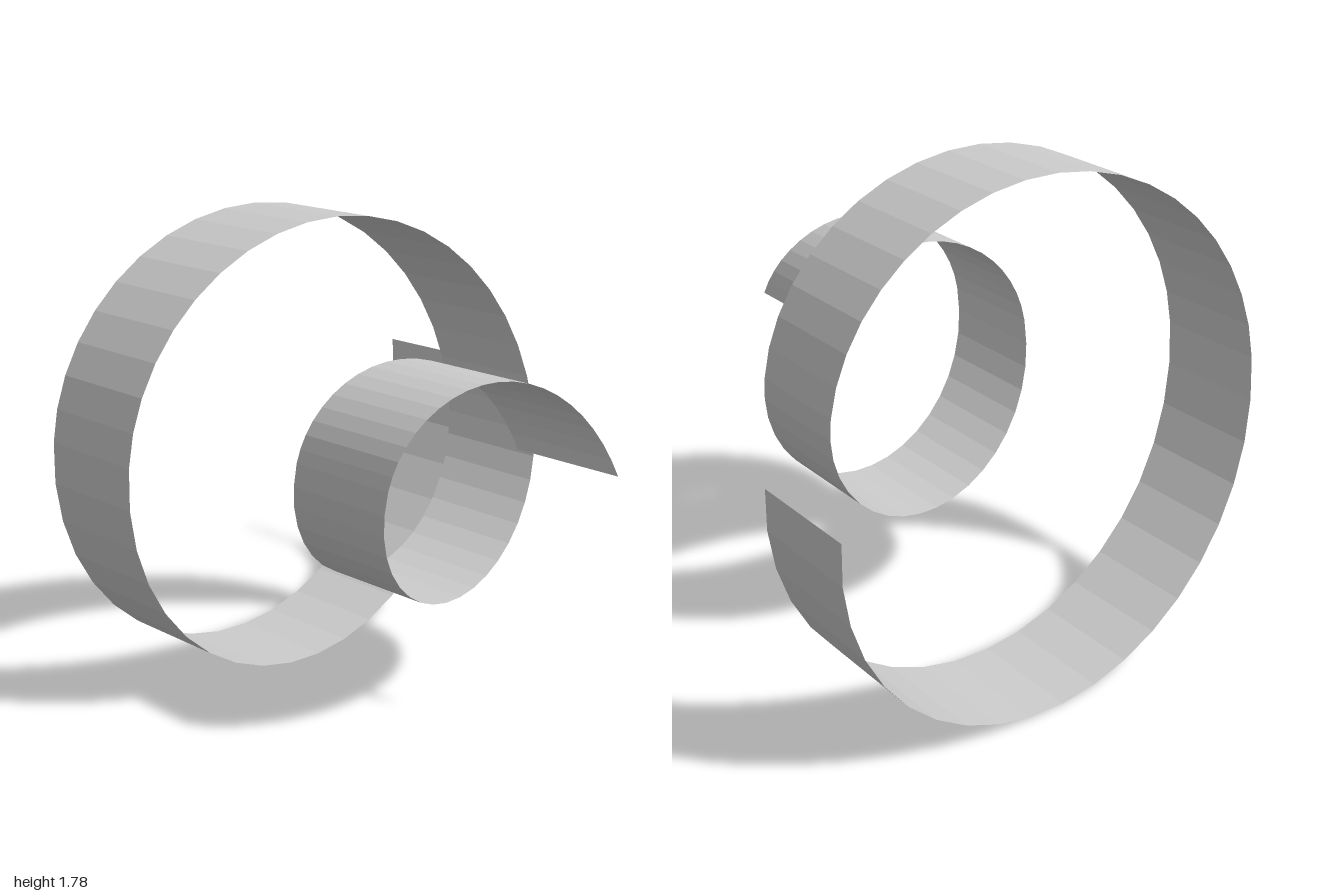
import * as THREE from 'three';

const SEGMENTS = 20;      // facets per half turn
const WIDTH = 4 / 9;      // ribbon width along z
const PITCH = 3.5 / 9;    // z travel per half turn

// Half turns of the spiral, alternating over the top and under the bottom
const ARCS = [
  { centre: -2 / 9, radius: 3 / 9 },
  { centre: 0, radius: 5 / 9 },
  { centre: -2 / 9, radius: 7 / 9 },
  { centre: 0, radius: 1 },
];
// Sideways slope of the ribbon at the ends of the half turns
const SLOPES = [0.55, 0.28, 0.19, 0.14, 0.115];

// Smooth z travel within a half turn, matching the slopes at both ends
function travel(i, t) {
  const length = Math.PI * ARCS[i].radius;
  return PITCH * t * t * (3 - 2 * t)
    + SLOPES[i] * length * t * (1 - t) ** 2
    + SLOPES[i + 1] * length * t * t * (t - 1);
}

// Front edge of the ribbon
function edgePoints() {
  const points = [];
  ARCS.forEach(({ centre, radius }, i) => {
    for (let j = i ? 1 : 0; j <= SEGMENTS; j++) {
      const t = j / SEGMENTS;
      const angle = Math.PI * (i + t);
      points.push(new THREE.Vector3(
        centre + radius * Math.cos(angle),
        1 + radius * Math.sin(angle),
        1 - i * PITCH - travel(i, t),
      ));
    }
  });
  return points;
}

// Strip swept straight back from the front edge
function ribbonGeometry() {
  const positions = [];
  const indices = [];
  const points = edgePoints();
  points.forEach((p, i) => {
    positions.push(p.x, p.y, p.z, p.x, p.y, p.z - WIDTH);
    if (i < points.length - 1) {
      const a = i * 2;
      indices.push(a, a + 1, a + 2, a + 1, a + 3, a + 2);
    }
  });
  const geometry = new THREE.BufferGeometry();
  geometry.setAttribute('position', new THREE.Float32BufferAttribute(positions, 3));
  geometry.setIndex(indices);
  const flat = geometry.toNonIndexed();
  flat.computeVertexNormals();
  return flat;
}

export function createModel() {
  const group = new THREE.Group();
  group.name = 'spiralRibbon';
  const material = new THREE.MeshStandardMaterial({
    color: 0xcccccc, flatShading: true, side: THREE.DoubleSide,
  });
  const ribbon = new THREE.Mesh(ribbonGeometry(), material);
  ribbon.name = 'ribbon';
  group.add(ribbon);
  return group;
}
